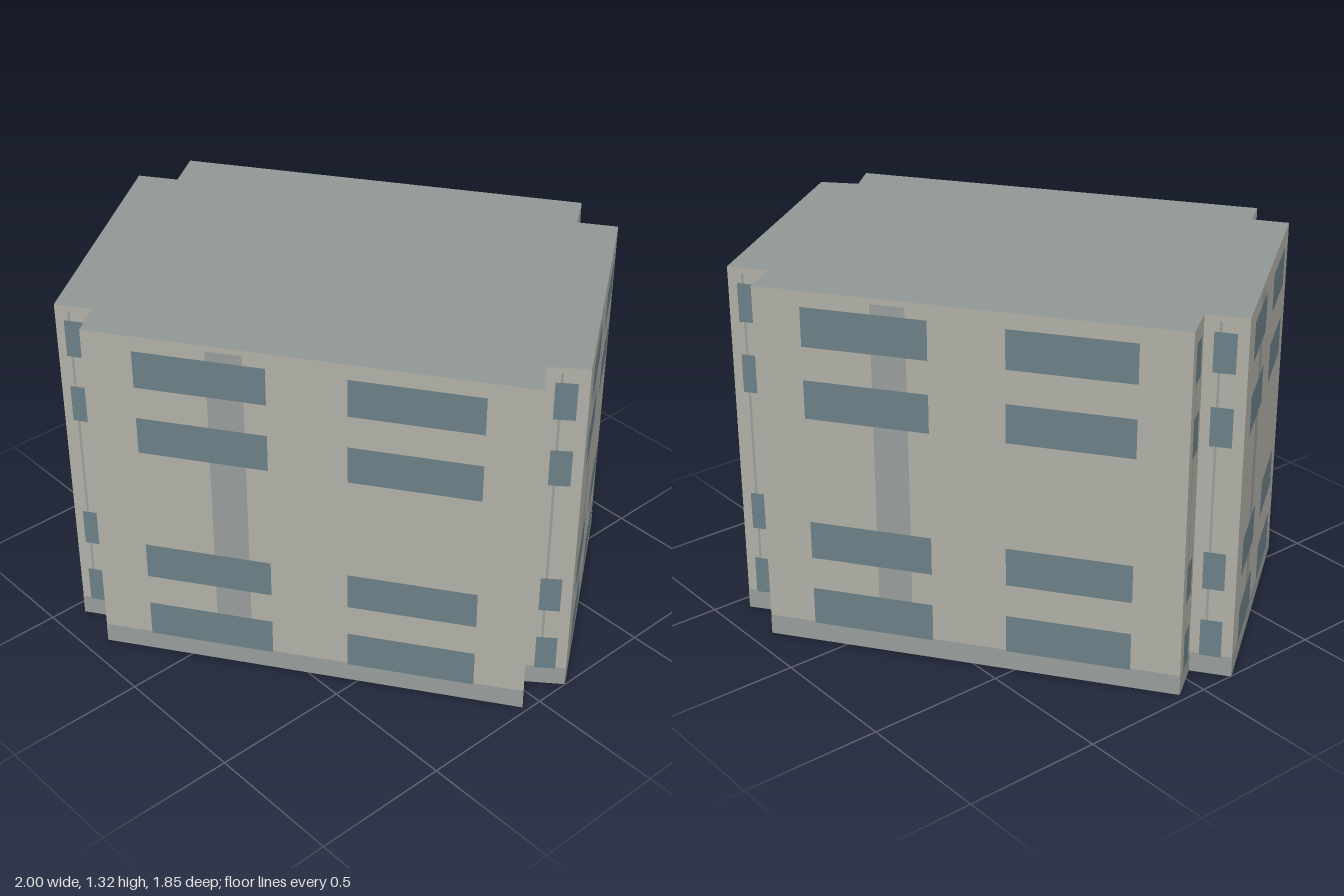
import * as THREE from 'three';

const HEIGHT = 1.315;
const BASE_HEIGHT = 0.075;

// Footprint corners (x, z), so that each wall runs left to right seen from outside
const FOOTPRINT = [
  [-0.97, -0.085], [-0.88, 0.045], [-1, 0.13], [-0.45, 0.89],
  [-0.34, 0.815], [-0.265, 0.92], [0.98, 0.065], [0.89, -0.035],
  [0.997, -0.13], [0.44, -0.887], [0.322, -0.803], [0.235, -0.923],
];

// Window rows as [bottom, top]
const ROWS = [[0.07, 0.21], [0.33, 0.47], [0.86, 1.0], [1.12, 1.26]];

const wallMaterial = new THREE.MeshStandardMaterial({ color: 0xb0afa6, side: THREE.DoubleSide });
const roofMaterial = new THREE.MeshStandardMaterial({ color: 0x8f9794, side: THREE.DoubleSide });
const trimMaterial = new THREE.MeshStandardMaterial({ color: 0x979c9a });
const windowMaterial = new THREE.MeshStandardMaterial({ color: 0x6b8087 });

// Flat panel in a wall's own frame: x along the wall, y up, z outward
function addPanel(parent, name, material, x0, x1, y0, y1, offset) {
  const panel = new THREE.Mesh(new THREE.PlaneGeometry(x1 - x0, y1 - y0), material);
  panel.name = name;
  panel.position.set((x0 + x1) / 2, (y0 + y1) / 2, offset);
  parent.add(panel);
}

function createWall([ax, az], [bx, bz]) {
  const facade = new THREE.Group();
  facade.name = 'facade';
  facade.position.set(ax, 0, az);
  facade.rotation.y = Math.atan2(az - bz, bx - ax);

  const length = Math.hypot(bx - ax, bz - az);
  const isNarrow = length < 0.4;
  // Horizontal spans are fractions of the wall length
  const columns = isNarrow ? [[0.23, 0.74]] : [[0.114, 0.41], [0.588, 0.884]];
  const [s0, s1] = isNarrow ? [0.34, 0.4] : [0.278, 0.36];

  addPanel(facade, 'wall', wallMaterial, 0, length, 0, HEIGHT, 0);
  addPanel(facade, 'verticalStrip', trimMaterial, s0 * length, s1 * length, BASE_HEIGHT, 1.295, 0.001);
  addPanel(facade, 'baseBand', trimMaterial, 0, length, 0, BASE_HEIGHT, 0.002);
  for (const [y0, y1] of ROWS) {
    for (const [c0, c1] of columns) {
      addPanel(facade, 'window', windowMaterial, c0 * length, c1 * length, y0, y1, 0.003);
    }
  }
  return facade;
}

export function createModel() {
  const building = new THREE.Group();
  building.name = 'building';

  // Walls around the notched footprint, open underneath
  FOOTPRINT.forEach((corner, i) => {
    building.add(createWall(corner, FOOTPRINT[(i + 1) % FOOTPRINT.length]));
  });

  // Flat roof
  const outline = new THREE.Shape(FOOTPRINT.map(([x, z]) => new THREE.Vector2(x, -z)));
  const roof = new THREE.Mesh(new THREE.ShapeGeometry(outline).rotateX(-Math.PI / 2), roofMaterial);
  roof.name = 'roof';
  roof.position.y = HEIGHT;
  building.add(roof);

  return building;
}
